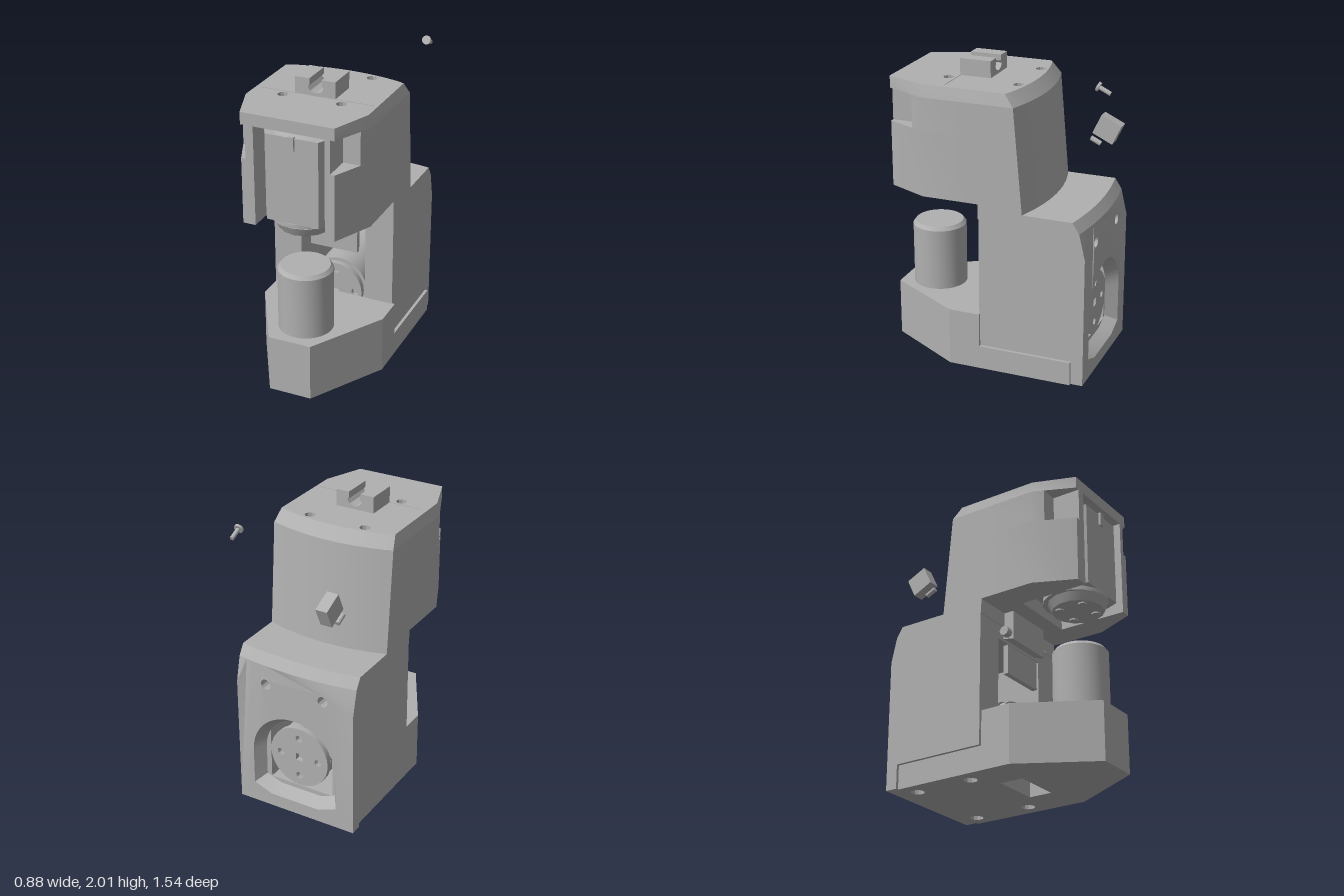
import * as THREE from 'three';
import { toCreasedNormals } from 'three/addons/utils/BufferGeometryUtils.js';

const V = (x, y) => new THREE.Vector2(x, y);
const XL = -0.44, XR = 0.42, XC = -0.01, HALF = 0.43;

// shape from [a, b] pairs; holes are arrays of pairs too
function shapeOf(points, holes = []) {
  const s = new THREE.Shape(points.map(([a, b]) => V(a, b)));
  for (const h of holes) s.holes.push(new THREE.Path(h.map(([a, b]) => V(a, b))));
  return s;
}
function circle(cx, cy, r, n = 12) {
  return Array.from({ length: n }, (_, i) => {
    const t = (i / n) * Math.PI * 2;
    return [cx + r * Math.cos(t), cy + r * Math.sin(t)];
  });
}
const rect = (x0, y0, x1, y1) => [[x0, y0], [x1, y0], [x1, y1], [x0, y1]];

// plate standing in the xy plane, running from z0 to z1
function slabZ(points, z0, z1, holes) {
  const g = new THREE.ExtrudeGeometry(shapeOf(points, holes), { depth: z1 - z0, bevelEnabled: false });
  return g.translate(0, 0, z0);
}
// plate lying in the xz plane, running from y0 to y1
function slabY(points, y0, y1, holes = []) {
  const flip = (list) => list.map(([x, z]) => [x, -z]);
  const g = new THREE.ExtrudeGeometry(shapeOf(flip(points), holes.map(flip)), { depth: y1 - y0, bevelEnabled: false });
  return g.rotateX(-Math.PI / 2).translate(0, y0, 0);
}
function moveVertices(g, rule) {
  const p = g.attributes.position, v = new THREE.Vector3();
  for (let i = 0; i < p.count; i++) {
    rule(v.fromBufferAttribute(p, i));
    p.setXYZ(i, v.x, v.y, v.z);
  }
  g.computeVertexNormals();
  return g;
}
// bowed rear edge from +x to -x: furthest back at the middle
function rearCurve(mid, side, n = 14) {
  return Array.from({ length: n + 1 }, (_, i) => {
    const u = 1 - (2 * i) / n;
    return [XC + HALF * u, mid + (side - mid) * u * u];
  });
}
// block with a bowed rear that leans forward by lean at its top
function bowedBlock(front, mid, side, y0, y1, lean, holes, inset = 0) {
  const limit = side + 0.004;
  return moveVertices(slabY([...front, ...rearCurve(mid, side)], y0, y1, holes), (v) => {
    if (v.y < y1 - 1e-4) return;
    if (v.z < limit) v.z += lean;
    if (Math.abs(v.x - XC) > HALF - 0.005) v.x -= Math.sign(v.x) * inset;
  });
}

export function createModel() {
  const group = new THREE.Group();
  const grey = new THREE.MeshStandardMaterial({ color: 0xb0b0b0 });
  grey.name = 'plain grey';
  function add(name, geometry, parent = group) {
    const m = new THREE.Mesh(toCreasedNormals(geometry, 0.5), grey);
    m.name = name;
    parent.add(m);
    return m;
  }
  const cyl = (r0, r1, h, x, y, z, n = 32) => new THREE.CylinderGeometry(r0, r1, h, n).translate(x, y, z);
  const cylZ = (r, z0, z1, x, y, n = 32) =>
    new THREE.CylinderGeometry(r, r, z1 - z0, n).rotateX(Math.PI / 2).translate(x, y, (z0 + z1) / 2);
  const box = (x0, x1, y0, y1, z0, z1) =>
    new THREE.BoxGeometry(x1 - x0, y1 - y0, z1 - z0).translate((x0 + x1) / 2, (y0 + y1) / 2, (z0 + z1) / 2);

  // base with pointed nose, foot holes and a slot underneath
  const nose = [[-0.42, 0.27], [-0.14, 0.77], [0.15, 0.77], [0.44, 0.27]];
  const footHoles = [];
  for (const x of [-0.31, 0.33]) for (const z of [-0.5, -0.09]) footHoles.push(circle(x, z, 0.045));
  footHoles.push(rect(-0.16, 0.03, 0.17, 0.19));
  add('basePlate', slabY([[-0.42, -0.57], ...nose, [0.44, -0.57]], 0, 0.16, footHoles));
  add('baseNose', slabY([[-0.42, 0.06], ...nose, [0.44, 0.06]], 0.16, 0.39));
  add('postCylinder', new THREE.LatheGeometry(
    [V(0, 0.39), V(0.18, 0.39), V(0.18, 0.81), V(0.16, 0.835), V(0, 0.835)], 40).translate(0.01, 0, 0.525));

  // lower body: tunnel block, rear plate with flared arch, bowed shelf
  add('bodyBlock', slabZ(rect(XL, 0.16, XR, 1.05), -0.57, 0.065, [rect(-0.24, 0.17, 0.225, 0.95)]));
  const AY = 0.4, R = 0.31;
  const arch = [[-R, 0.14], [-0.18, 0.09], [0.18, 0.09], [R, 0.14]];
  for (let i = 0; i <= 20; i++) {
    const t = (i / 20) * Math.PI;
    arch.push([R * Math.cos(t), AY + R * Math.sin(t)]);
  }
  const rearOutline = [[XL, 0], [XR, 0], [XR, 0.88], ...rearCurve(0, 0).map(([x]) => [x, 1.05]), [XL, 0.88]];
  const boltHoles = [circle(-0.22, 0.92, 0.036), circle(0.2, 0.92, 0.036)];
  add('rearPlate', moveVertices(slabZ(rearOutline, -0.65, -0.57, [arch, ...boltHoles]), (v) => {
    if (v.z > -0.6 && Math.abs(v.x) < 0.32 && v.y > 0.05 && v.y < 0.75) {
      v.x *= 0.84;
      v.y = AY + (v.y - AY) * 0.84;
    } else if (v.z < -0.6 && v.y > 1.04) v.z += 0.04 * ((v.x - XC) / HALF) ** 2;
  }));
  add('shelf', bowedBlock([[XL, 0.07], [XR, 0.07]], -0.65, -0.61, 1.05, 1.12, 0.045));

  // head: bowed back, open-fronted walls with corner notches, lid
  add('headBack', bowedBlock([[XL, 0.07], [XR, 0.07]], -0.3, -0.23, 1.12, 1.81, 0.06));
  const inner = [[-0.235, 0.72], [-0.235, 0.25], [0.235, 0.25], [0.235, 0.72]];
  add('headWalls', slabY([[XL, 0.07], [XL, 0.45], [-0.32, 0.72], ...inner, [0.3, 0.72], [XR, 0.45], [XR, 0.07]], 1.15, 1.59));
  add('notchedWalls', slabY([[XL, 0.07], [XL, 0.45], [-0.404, 0.53], [-0.29, 0.53], [-0.29, 0.72], ...inner,
    [0.27, 0.72], [0.27, 0.53], [0.384, 0.53], [XR, 0.45], [XR, 0.07]], 1.59, 1.81));
  const lidHoles = [];
  for (const x of [-0.21, 0.185]) for (const z of [-0.115, 0.36]) lidHoles.push(circle(x, z, 0.035, 10));
  add('lid', bowedBlock([[XL, 0.45], [-0.32, 0.72], [0.3, 0.72], [XR, 0.45]], -0.24, -0.17, 1.81, 1.89, 0.06, lidHoles, 0.02));
  add('lidSeam', box(-0.38, 0.37, 1.889, 1.893, 0.306, 0.312));

  // clip on the lid with a keyhole slot
  const clip = [[-0.15, 1.89], [0.12, 1.89], [0.12, 2], [0.03, 2], [0.03, 1.96], [0.042, 1.945], [0.025, 1.92],
    [-0.012, 1.908], [-0.048, 1.92], [-0.065, 1.945], [-0.053, 1.96], [-0.053, 2], [-0.15, 2]];
  add('clip', slabZ(clip, 0.1, 0.31));

  // upright motor inside the head
  const upper = new THREE.Group();
  upper.name = 'headMotor';
  group.add(upper);
  const can = [[-0.165, 0.7], [-0.21, 0.62], [-0.21, 0.38], [-0.165, 0.3], [0.185, 0.3], [0.22, 0.38], [0.22, 0.62], [0.185, 0.7]];
  add('motorCan', slabY(can, 1.2, 1.77), upper);
  add('motorCap', cyl(0.08, 0.21, 0.04, 0.01, 1.79, 0.5, 12), upper);
  add('motorKey', box(-0.01, 0.03, 1.69, 1.78, 0.69, 0.715), upper);
  add('motorRim', cyl(0.21, 0.21, 0.03, 0, 1.185, 0.5, 16), upper);
  add('couplerDisc', cyl(0.2, 0.17, 0.06, 0.01, 1.145, 0.515, 14), upper);
  for (let i = 0; i < 4; i++) {
    const t = Math.PI / 4 + (i * Math.PI) / 2;
    add('couplerStud', cyl(0.03, 0.03, 0.02, 0.01 + 0.12 * Math.cos(t), 1.115, 0.515 + 0.12 * Math.sin(t), 8), upper);
  }

  // lying motor in the tunnel with a hub disc at each end
  const lower = new THREE.Group();
  lower.name = 'tunnelMotor';
  group.add(lower);
  add('motorBarrel', cylZ(0.2, -0.52, -0.02, 0, AY), lower);
  const hub = (r) => shapeOf(circle(0, AY, r, 28), [0, 1, 2, 3].map((i) => {
    const t = (i * Math.PI) / 2;
    return circle(0.14 * Math.cos(t), AY + 0.14 * Math.sin(t), 0.025, 8);
  }).concat([rect(-0.025, AY - 0.025, 0.025, AY + 0.025)]));
  for (const [r, z] of [[0.215, -0.585], [0.19, 0]]) {
    add('hubDisc', new THREE.ExtrudeGeometry(hub(r), { depth: 0.04, bevelEnabled: false }).translate(0, 0, z), lower);
    add('hubBacking', cylZ(r * 0.9, z + (z < -0.1 ? 0.035 : -0.03), z + (z < -0.1 ? 0.075 : 0.01), 0, AY), lower);
  }

  // brackets at the front of the body
  add('guardPlate', box(-0.16, 0.175, 0.73, 0.93, 0.05, 0.085));
  const neck = [[0.06, 1.15], [0.14, 1.15], [0.14, 0.95], [0.06, 0.97]];
  add('neckBracket', slabZ(neck.map(([z, y]) => [-z, y]), -0.18, 0.18).rotateY(Math.PI / 2));
  for (const x of [-0.205, 0.195]) add('bracketScrew', cyl(0.033, 0.033, 0.05, 0, 0, 0, 8).rotateZ(Math.PI / 2).translate(x, 1, 0.1));

  // loose screw
  const screw = new THREE.Group();
  screw.name = 'looseScrew';
  add('screwHead', cyl(0.03, 0.03, 0.016, 0, 0, 0, 16), screw);
  add('screwShaft', cyl(0.014, 0.014, 0.08, 0, -0.045, 0, 12), screw);
  screw.position.set(0.333, 1.98, -0.683);
  screw.rotation.x = 1.12;
  group.add(screw);

  // loose block and pin
  const block = new THREE.Group();
  block.name = 'looseBlock';
  add('block', box(-0.04, 0.04, -0.07, 0.07, -0.075, 0.075), block);
  block.position.set(-0.23, 1.535, -0.575);
  block.rotation.x = -0.44;
  group.add(block);
  const pin = add('loosePin', cyl(0.017, 0.017, 0.075, 0, 0, 0, 12));
  pin.position.set(-0.25, 1.433, -0.484);
  pin.rotation.x = 1.13;

  return group;
}
